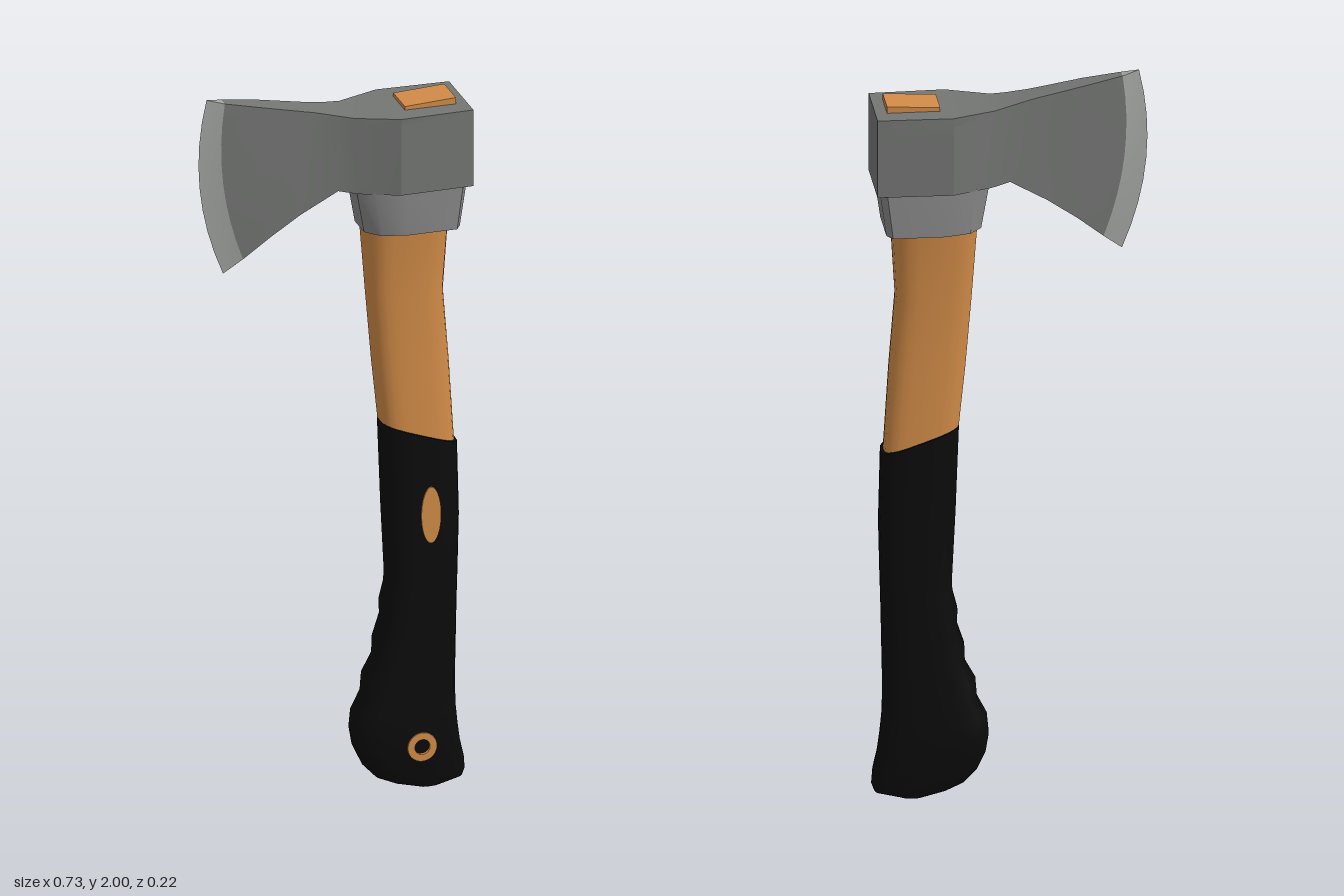
import * as THREE from 'three';
import { toCreasedNormals } from 'three/addons/utils/BufferGeometryUtils.js';

const STEEL = 0x747674, COLLAR = 0x8a8a8a, EDGE = 0xa4a6a4, WOOD = 0xd28c48, RUBBER = 0x0b0b0b;

function part(name, geometry, color) {
  const mesh = new THREE.Mesh(geometry, new THREE.MeshStandardMaterial({ color }));
  mesh.name = name;
  return mesh;
}

// Skin closed rings of points, cap both ends and face everything outwards
function loft(rings, crease) {
  const tris = [];
  const n = rings[0].length;
  for (let i = 0; i < rings.length - 1; i++) {
    for (let j = 0; j < n; j++) {
      const k = (j + 1) % n;
      const a = rings[i][j], b = rings[i][k], c = rings[i + 1][k], d = rings[i + 1][j];
      tris.push([a, b, c], [a, c, d]);
    }
  }
  const cap = (ring, flip) => {
    const mid = ring.reduce((s, p) => s.add(p), new THREE.Vector3()).divideScalar(n);
    ring.forEach((p, j) => {
      const q = ring[(j + 1) % n];
      tris.push(flip ? [mid, q, p] : [mid, p, q]);
    });
  };
  cap(rings[0], true);
  cap(rings[rings.length - 1], false);
  let volume = 0;
  for (const [a, b, c] of tris) volume += a.dot(new THREE.Vector3().crossVectors(b, c));
  if (volume < 0) tris.forEach((t) => t.reverse());
  const geometry = new THREE.BufferGeometry().setFromPoints(tris.flat());
  return toCreasedNormals(geometry, crease);
}

// One upright slice of the axe head: a curve from top to bottom, given thickness
function headSlice([xt, yt, xb, yb, z, xm = (xt + xb) / 2]) {
  const ym = (yt + yb) / 2;
  const curve = new THREE.QuadraticBezierCurve(
    new THREE.Vector2(xt, yt),
    new THREE.Vector2(2 * xm - (xt + xb) / 2, ym),
    new THREE.Vector2(xb, yb));
  const pts = curve.getPoints(8);
  const front = pts.map((p) => new THREE.Vector3(p.x, p.y, z));
  const back = pts.map((p) => new THREE.Vector3(p.x, p.y, -z)).reverse();
  return [...front, ...back];
}

// One handle section between its left and right outline points, rounded in depth
function handleRing([xl, yl, xr, yr, z]) {
  const ring = [];
  const bend = (v) => Math.sign(v) * Math.abs(v) ** 0.62;
  for (let i = 0; i < 24; i++) {
    const a = (i / 24) * Math.PI * 2;
    const t = (bend(Math.cos(a)) + 1) / 2;
    ring.push(new THREE.Vector3(xl + (xr - xl) * t, yl + (yr - yl) * t, z * bend(Math.sin(a))));
  }
  return ring;
}

export function createModel() {
  const axe = new THREE.Group();
  axe.name = 'axe';

  // Head: x and y of the top, x and y of the bottom, half thickness, middle x
  const bevelStart = [-0.30, 1.99, -0.25, 1.545, 0.016, -0.305];
  const headSlices = [
    [0.355, 1.925, 0.355, 1.71, 0.104],
    [0.155, 1.925, 0.155, 1.71, 0.109],
    [0.04, 1.925, 0.05, 1.71, 0.064],
    [0.0, 1.932, 0.0, 1.72, 0.052],
    [-0.06, 1.944, -0.10, 1.66, 0.039],
    [-0.20, 1.972, -0.18, 1.603, 0.03],
    bevelStart,
  ];
  axe.add(part('head', loft(headSlices.map(headSlice), 0.4), STEEL));
  const bevel = [bevelStart, [-0.345, 2.0, -0.30, 1.505, 0.001, -0.364]];
  axe.add(part('cuttingEdge', loft(bevel.map(headSlice), 0.4), EDGE));

  // Collar under the head, square at the back and rounded towards the blade
  const half = [[1, 0.072], [0.94, 0.097], [0.4, 0.098], [0.13, 0.08], [0, 0.04]];
  const collarRing = (y, x0, x1, s) => [
    ...half.map(([t, z]) => new THREE.Vector3(x0 + (x1 - x0) * t, y, z * s)),
    ...half.map(([t, z]) => new THREE.Vector3(x0 + (x1 - x0) * t, y, -z * s)).reverse(),
  ];
  const collar = [collarRing(1.59, 0.075, 0.328, 0.99), collarRing(1.715, 0.053, 0.346, 1.03)];
  axe.add(part('collar', loft(collar, 0.6), COLLAR));

  // Wooden handle, running down into the grip
  const woodSections = [
    [0.08, 1.62, 0.313, 1.62, 0.081],
    [0.084, 1.57, 0.308, 1.57, 0.076],
    [0.096, 1.40, 0.298, 1.40, 0.06],
    [0.113, 1.20, 0.314, 1.20, 0.059],
    [0.135, 0.99, 0.331, 0.93, 0.059],
  ];
  axe.add(part('woodenHandle', loft(woodSections.map(handleRing), 0.7), WOOD));

  // End of the handle showing through the top of the head, slightly sloped
  const peg = new THREE.BoxGeometry(0.14, 0.06, 0.1);
  peg.translate(0.254, 1.91, 0);
  const pos = peg.attributes.position;
  for (let i = 0; i < pos.count; i++) {
    if (pos.getY(i) > 1.91) pos.setY(i, pos.getX(i) > 0.254 ? 1.943 : 1.935);
  }
  peg.computeVertexNormals();
  axe.add(part('handleTop', peg, WOOD));

  // Rubber grip with finger ridges and a flared foot
  const gripSections = [
    [0.130, 1.037, 0.336, 0.965, 0.066],
    [0.139, 0.80, 0.341, 0.76, 0.067],
    [0.149, 0.60, 0.337, 0.60, 0.067],
    [0.147, 0.57, 0.336, 0.57, 0.067],
    [0.134, 0.52, 0.335, 0.53, 0.067],
    [0.136, 0.48, 0.334, 0.49, 0.067],
    [0.116, 0.42, 0.333, 0.43, 0.067],
    [0.114, 0.37, 0.332, 0.38, 0.067],
    [0.086, 0.32, 0.331, 0.32, 0.067],
    [0.082, 0.27, 0.331, 0.27, 0.067],
    [0.056, 0.22, 0.333, 0.22, 0.067],
    [0.051, 0.17, 0.338, 0.17, 0.067],
    [0.059, 0.12, 0.345, 0.12, 0.063],
    [0.082, 0.07, 0.357, 0.07, 0.055],
    [0.115, 0.035, 0.36, 0.035, 0.048],
    [0.160, 0.015, 0.353, 0.016, 0.045],
    [0.225, 0.001, 0.29, 0.003, 0.042],
  ];
  axe.add(part('grip', loft(gripSections.map(handleRing), 0.7), RUBBER));

  // Oval inlay on the front of the grip
  const oval = new THREE.CylinderGeometry(1, 1, 0.04, 32);
  oval.rotateX(Math.PI / 2).scale(0.027, 0.079, 1);
  const inlay = part('ovalInlay', oval, WOOD);
  inlay.position.set(0.25, 0.78, 0.051);
  axe.add(inlay);

  // Ring around the hole near the foot
  const ringShape = new THREE.Shape().absarc(0, 0, 0.04, 0, Math.PI * 2);
  ringShape.holes.push(new THREE.Path().absarc(0, 0, 0.021, 0, Math.PI * 2, true));
  const ringGeometry = new THREE.ExtrudeGeometry(ringShape, { depth: 0.04, bevelEnabled: false, curveSegments: 24 });
  const ring = part('footRing', ringGeometry, WOOD);
  ring.position.set(0.226, 0.127, 0.03);
  axe.add(ring);

  return axe;
}
